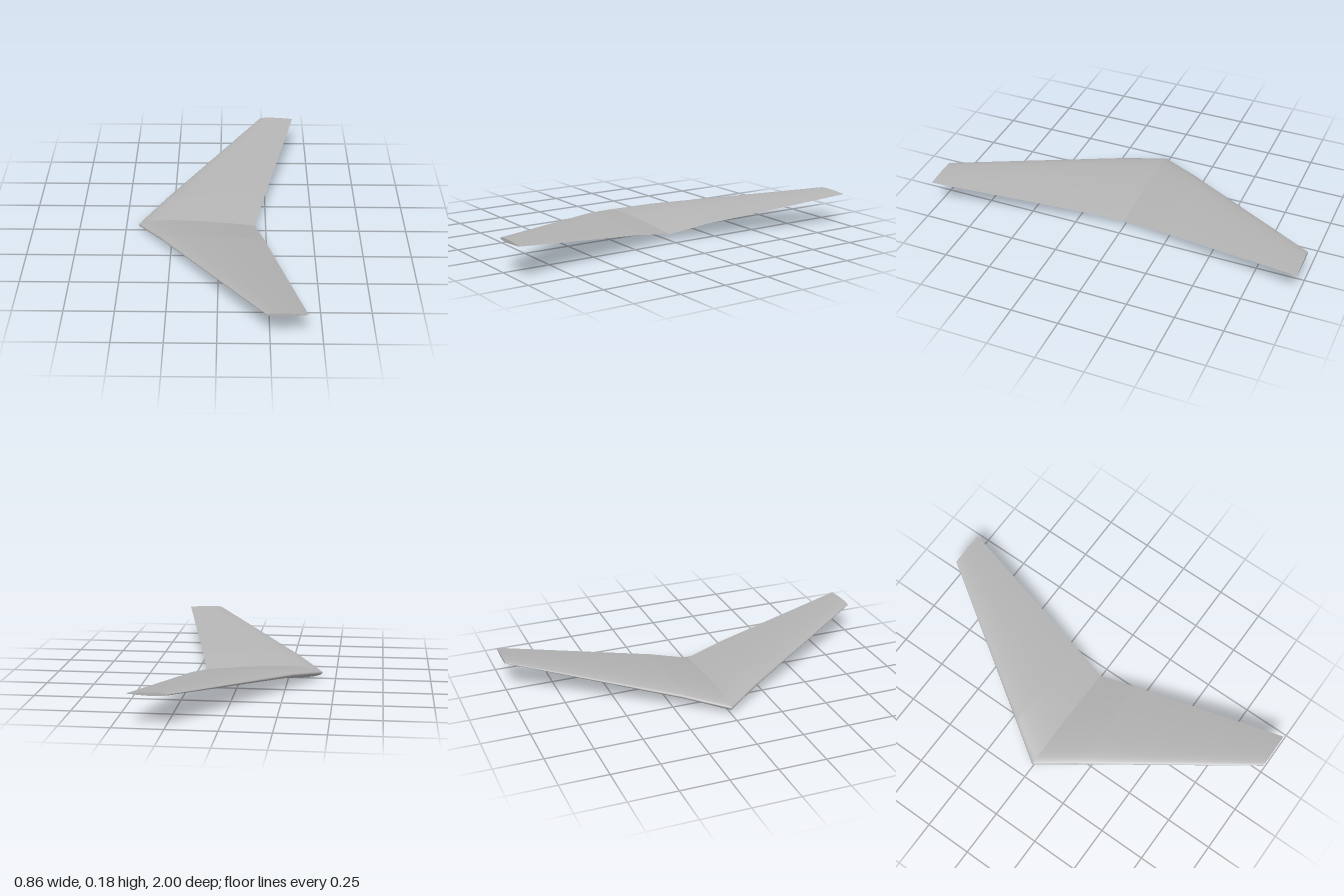
import * as THREE from 'three';

// Spanwise stations: leading edge x, chord, mid height, thickness
const root = { z: 0, x: -0.43, chord: 0.62, y: 0.031, thick: 0.062 };
const kink = { z: 0.2, x: -0.298, chord: 0.535, y: 0.068, thick: 0.05 };
const tip = { z: 1, x: 0.23, chord: 0.195, y: 0.1665, thick: 0.0175 };
const mirror = (s) => ({ ...s, z: -s.z });
const STEPS = 24;

// Symmetric airfoil loop: trailing edge, over the top, nose, along the bottom
function section(s) {
  const points = [];
  for (let i = 0; i <= 2 * STEPS; i++) {
    const t = (1 + Math.cos((i / STEPS) * Math.PI)) / 2;
    const half = 5 * s.thick * (0.2969 * Math.sqrt(t) - 0.126 * t
      - 0.3516 * t ** 2 + 0.2843 * t ** 3 - 0.1036 * t ** 4);
    points.push(new THREE.Vector3(s.x + t * s.chord, s.y + (i <= STEPS ? half : -half), s.z));
  }
  return points;
}

// Skin lofted between two stations, smooth around the nose and sharp at the trailing edge
function panelGeometry(a, b) {
  const loop = [...section(a), ...section(b)];
  const n = 2 * STEPS + 1;
  const index = [];
  for (let i = 0; i < n - 1; i++) {
    index.push(i, i + 1, n + i, i + 1, n + i + 1, n + i);
  }
  const geometry = new THREE.BufferGeometry().setFromPoints(loop);
  geometry.setIndex(index);
  geometry.computeVertexNormals();
  return geometry;
}

// Flat end face of a wing tip
function capGeometry(s) {
  const outline = section(s).slice(0, -1).map((p) => new THREE.Vector2(p.x, p.y));
  const geometry = new THREE.ShapeGeometry(new THREE.Shape(outline));
  geometry.translate(0, 0, s.z);
  if (s.z < 0) {
    geometry.index.array.reverse();
    geometry.computeVertexNormals();
  }
  return geometry;
}

export function createModel() {
  const model = new THREE.Group();
  model.name = 'sweptWing';
  const grey = new THREE.MeshStandardMaterial({ color: 0xb3b3b3 });
  grey.name = 'wing grey';

  const add = (name, geometry) => {
    const mesh = new THREE.Mesh(geometry, grey);
    mesh.name = name;
    model.add(mesh);
  };

  // Steep inner panels and shallow outer panels
  add('backOuterPanel', panelGeometry(mirror(tip), mirror(kink)));
  add('backInnerPanel', panelGeometry(mirror(kink), root));
  add('frontInnerPanel', panelGeometry(root, kink));
  add('frontOuterPanel', panelGeometry(kink, tip));

  // Closed wing tips
  add('frontTipCap', capGeometry(tip));
  add('backTipCap', capGeometry(mirror(tip)));
  return model;
}
